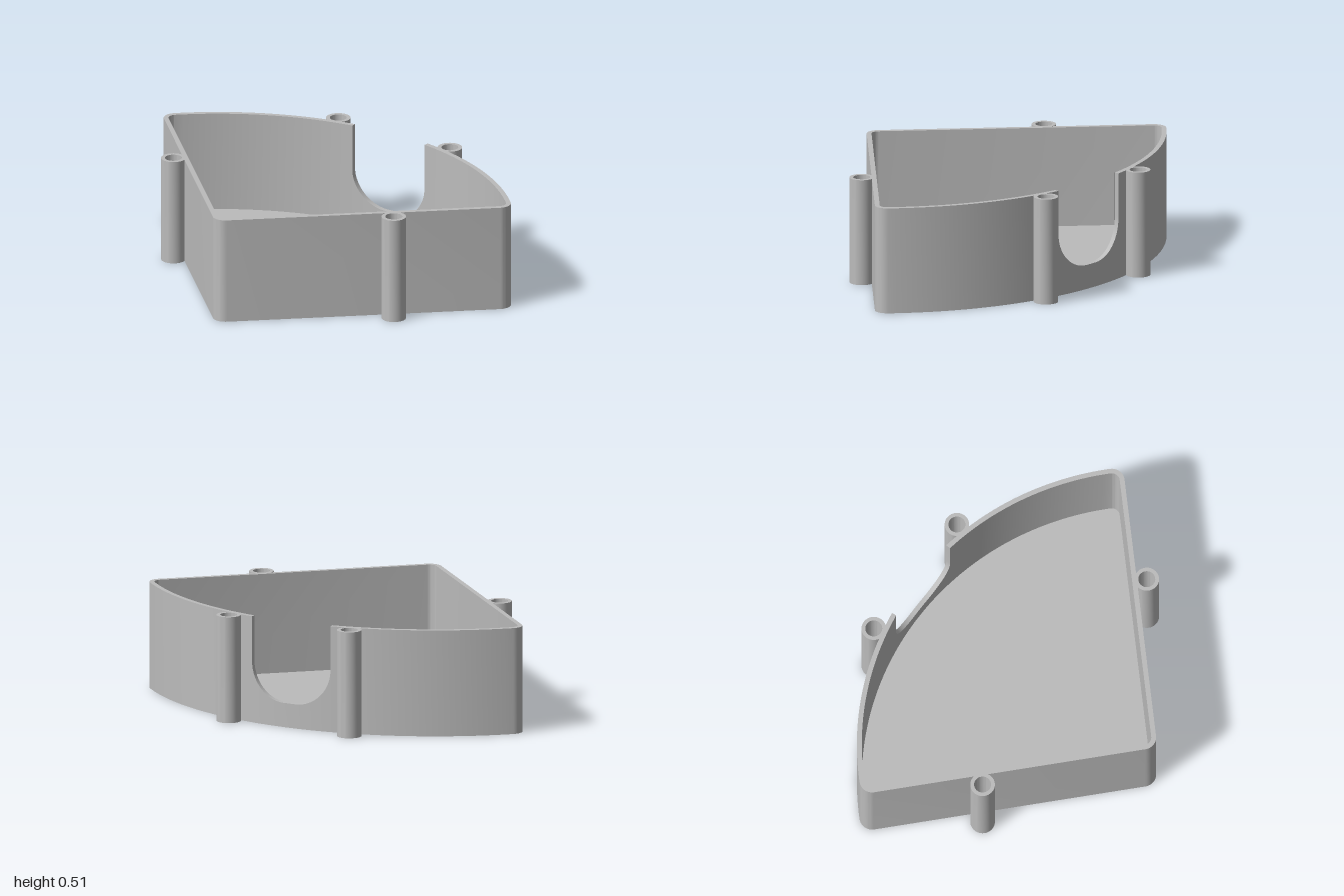
import * as THREE from 'three';
import { toCreasedNormals } from 'three/addons/utils/BufferGeometryUtils.js';

const HEIGHT = 0.512, WALL = 0.023, FLOOR = 0.03;
const CORNER_R = 0.06, TIP = [-0.672, 0], END = [0.22, 0.94]; // corner fillet centres
const ARC_X = -0.732, ARC_R = 1.398;                          // big curved wall
const NOTCH = { half: 0.212, bottom: 0.117, r: 0.18 };

// Stations round the outline: at(offset) gives [x, z], top is the rim height there
function stations() {
  const list = [];
  const sweep = (cx, cz, r, from, to, n) => {
    for (let i = 0; i <= n; i++) {
      const a = from + (to - from) * i / n;
      list.push({ at: o => [cx + (r - o) * Math.cos(a), cz + (r - o) * Math.sin(a)], top: HEIGHT });
    }
  };
  const notchPoint = (z, top) =>
    list.push({ at: o => [ARC_X + Math.sqrt((ARC_R - o) ** 2 - z * z), z], top });

  const side = Math.PI / 2 + Math.atan2(END[0] - TIP[0], END[1]);
  const arc = Math.atan2(END[1], END[0] - ARC_X);
  const cut = Math.asin((NOTCH.half + 0.002) / ARC_R);
  sweep(TIP[0], TIP[1], CORNER_R, side, 2 * Math.PI - side, 12);
  sweep(END[0], -END[1], CORNER_R, -side, -arc, 12);
  sweep(ARC_X, 0, ARC_R, -arc, -cut, 24);
  // U-shaped cut-out with rounded lower corners
  const { half, bottom, r } = NOTCH, n = 14;
  notchPoint(-half, HEIGHT);
  for (const s of [-1, 1]) {
    for (let i = 0; i <= n; i++) {
      const a = (s < 0 ? i : n - i) / n * Math.PI / 2;
      notchPoint(s * (half - r + r * Math.cos(a)), bottom + r - r * Math.sin(a));
    }
  }
  notchPoint(half, HEIGHT);
  sweep(ARC_X, 0, ARC_R, cut, arc, 24);
  sweep(END[0], END[1], CORNER_R, arc, side, 12);
  return list;
}

// Closed wall with outer, inner, rim and underside faces
function wallGeometry(list) {
  const pos = [];
  const tri = (a, b, c) => {
    const area = new THREE.Triangle(new THREE.Vector3(...a), new THREE.Vector3(...b), new THREE.Vector3(...c)).getArea();
    if (area > 1e-9) pos.push(...a, ...b, ...c);
  };
  const quad = (a, b, c, d) => { tri(a, b, c); tri(a, c, d); };
  const ring = list.map(s => {
    const [ox, oz] = s.at(0), [ix, iz] = s.at(WALL);
    return { ob: [ox, 0, oz], ot: [ox, s.top, oz], ib: [ix, 0, iz], it: [ix, s.top, iz] };
  });
  ring.forEach((p, i) => {
    const q = ring[(i + 1) % ring.length];
    quad(p.ob, p.ot, q.ot, q.ob);
    quad(p.ib, q.ib, q.it, p.it);
    quad(p.it, q.it, q.ot, p.ot);
    quad(p.ob, q.ob, q.ib, p.ib);
  });
  const g = new THREE.BufferGeometry();
  g.setAttribute('position', new THREE.Float32BufferAttribute(pos, 3));
  return toCreasedNormals(g, 0.5);
}

// Floor slab filling the inside of the wall
function floorGeometry(list) {
  const pts = [];
  for (const s of list) {
    const [x, z] = s.at(WALL);
    const p = new THREE.Vector2(x, -z);
    if (!pts.length || p.distanceTo(pts[pts.length - 1]) > 1e-5) pts.push(p);
  }
  return new THREE.ExtrudeGeometry(new THREE.Shape(pts), { depth: FLOOR, bevelEnabled: false })
    .rotateX(-Math.PI / 2);
}

export function createModel() {
  const model = new THREE.Group();
  model.name = 'sectorTray';
  const grey = new THREE.MeshStandardMaterial({ color: 0xbcbcbc });
  grey.name = 'grey';
  const add = (name, geometry, x = 0, z = 0) => {
    const mesh = new THREE.Mesh(geometry, grey);
    mesh.name = name;
    mesh.position.set(x, 0, z);
    model.add(mesh);
  };

  const list = stations();
  add('wall', wallGeometry(list));
  add('floor', floorGeometry(list));

  // Screw posts with blind holes, mirrored front to back
  const profile = [[0, 0], [0.058, 0], [0.058, HEIGHT], [0.04, HEIGHT], [0.04, 0.1], [0, 0.1]]
    .map(([r, y]) => new THREE.Vector2(r, y));
  const post = toCreasedNormals(new THREE.LatheGeometry(profile, 40), 0.5);
  for (const s of [1, -1]) {
    const end = s > 0 ? 'Front' : 'Back';
    add('sidePost' + end, post, -0.208, s * 0.644);
    add('curvePost' + end, post, 0.672, s * 0.326);
  }
  return model;
}
